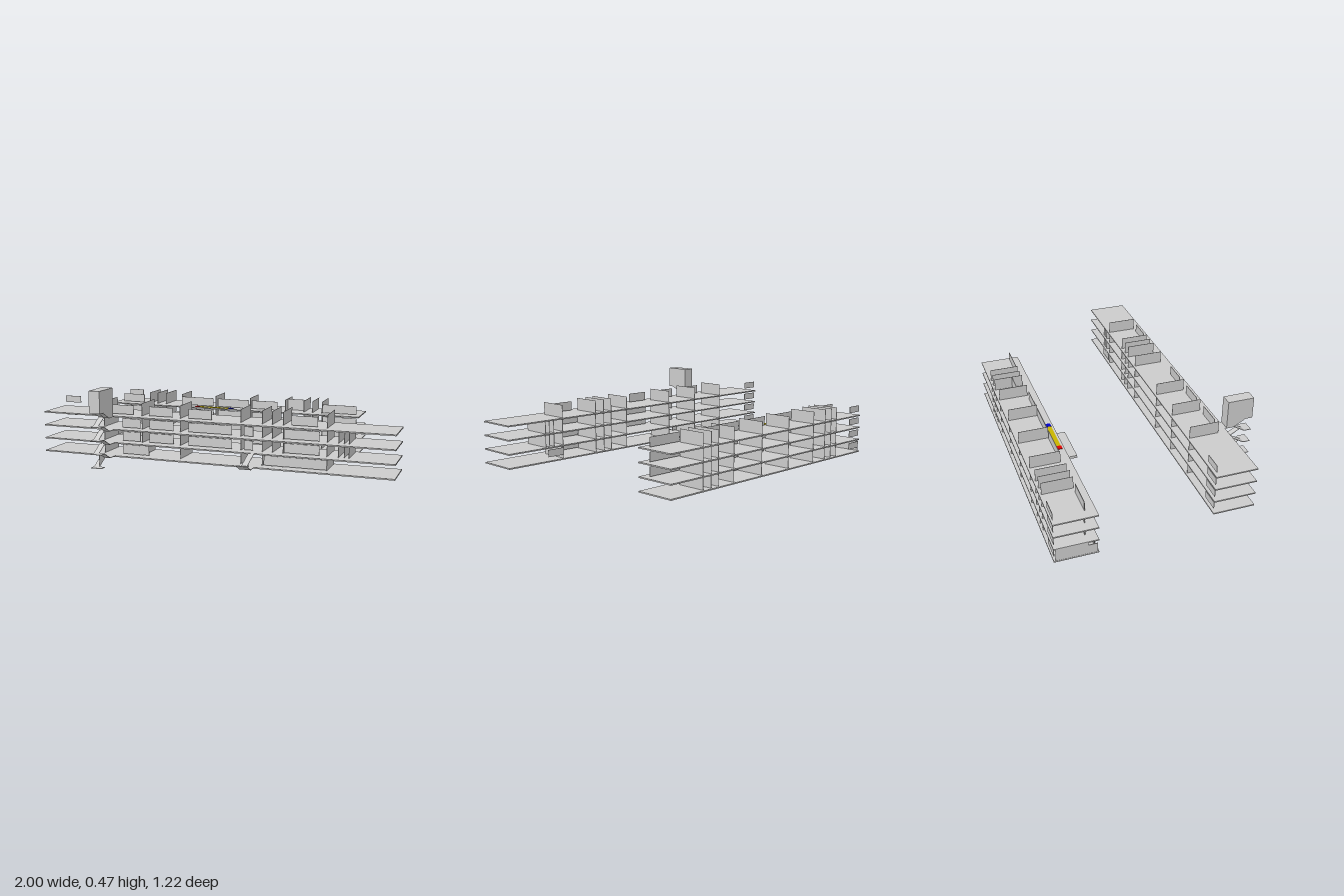
import * as THREE from 'three';

export function createModel() {
  const model = new THREE.Group();
  const paint = (color) => new THREE.MeshStandardMaterial({ color, flatShading: true });
  const grey = paint(0xcccccc);
  const thin = new THREE.MeshStandardMaterial({ color: 0xcccccc, flatShading: true, side: THREE.DoubleSide });

  // Box given by its min and max corners
  function box(parent, name, x0, x1, y0, y1, z0, z1, material = grey) {
    const mesh = new THREE.Mesh(new THREE.BoxGeometry(x1 - x0, y1 - y0, z1 - z0), material);
    mesh.position.set((x0 + x1) / 2, (y0 + y1) / 2, (z0 + z1) / 2);
    mesh.name = name;
    parent.add(mesh);
    return mesh;
  }

  // Side profile of [z, y] points extruded along x
  function sideProfile(parent, name, points, x0, x1) {
    const shape = new THREE.Shape(points.map(([z, y]) => new THREE.Vector2(-z, y)));
    const geometry = new THREE.ExtrudeGeometry(shape, { depth: x1 - x0, bevelEnabled: false });
    geometry.rotateY(Math.PI / 2).translate(x0, 0, 0);
    const mesh = new THREE.Mesh(geometry, thin);
    mesh.name = name;
    parent.add(mesh);
  }

  // Thin sloping or level strip between two [z, y] points
  function strip(parent, name, [z0, y0], [z1, y1], x0, x1) {
    const t = 0.003;
    sideProfile(parent, name, [[z0, y0], [z1, y1], [z1, y1 - t], [z0, y0 - t]], x0, x1);
  }

  // Stacked floor slabs with cross walls, front panels and end signs
  function building(name, o) {
    const g = new THREE.Group();
    g.name = name;
    for (let i = 0; i < 4; i++) {
      const y = o.base + 0.075 * i;
      const top = y + (i < 3 ? 0.068 : 0.07);
      box(g, 'floorSlab', o.x0, o.x1, y - 0.007, y, o.z0, o.z1);
      for (const x of o.walls) box(g, 'crossWall', x - 0.001, x + 0.001, y, top, o.wallBack, o.wallFront);
      for (const [a, b] of o.panels[i]) {
        box(g, 'frontPanel', a, b, y + 0.004, y + 0.055, o.wallFront - 0.003, o.wallFront);
      }
      box(g, 'endSign', -0.99, -0.89, y + 0.022, y + 0.06, o.z0 + 0.003, o.z0 + 0.006);
    }
    model.add(g);
    return g;
  }

  // Front building
  const topPanels = [[-0.6, -0.46], [-0.365, -0.225], [-0.13, 0.005], [0.45, 0.59]];
  const lowPanels = [[-0.53, -0.42], [-0.365, -0.22], [-0.13, 0.12], [0.19, 0.24], [0.41, 0.6]];
  const front = building('frontBuilding', {
    x0: -1, x1: 1, z0: 0.225, z1: 0.452, base: 0.084, wallBack: 0.235, wallFront: 0.4,
    walls: [-0.645, -0.41, -0.18, 0.17, 0.29, 0.345, 0.405, 0.64],
    panels: [[[-0.53, -0.37], [0.3, 0.64]], lowPanels, lowPanels, topPanels],
  });
  for (const x of [0.7, 0.73, 0.755]) {
    for (const y of [0.159, 0.234]) box(front, 'endPartition', x - 0.001, x + 0.001, y, y + 0.068, 0.235, 0.4);
  }
  box(front, 'farSign', 0.64, 0.745, 0.105, 0.145, 0.228, 0.231);

  // Rear building
  const rearPanels = [[-0.95, -0.8], [-0.53, -0.31], [-0.28, -0.07], [-0.05, 0.12], [0.41, 0.62]];
  const rear = building('rearBuilding', {
    x0: -1, x1: 0.645, z0: -0.61, z1: -0.38, base: 0.009, wallBack: -0.6, wallFront: -0.435,
    walls: [-0.76, -0.705, -0.645, -0.53, -0.295, -0.06, 0.17, 0.29, 0.345, 0.405],
    panels: [[[-0.05, 0.04], [-0.39, -0.31]], rearPanels, rearPanels, rearPanels],
  });
  box(rear, 'innerPartition', 0.17, 0.29, 0.234, 0.302, -0.497, -0.494);
  box(rear, 'groundEndWall', -0.999, -0.996, 0.009, 0.077, -0.6, -0.435);
  box(rear, 'groundEndWallFront', -0.999, -0.996, 0.009, 0.062, -0.435, -0.387);
  box(rear, 'groundRoomFront', -0.95, -0.69, 0.009, 0.066, -0.39, -0.387);
  box(rear, 'terrace', -0.3, -0.053, 0.069, 0.084, -0.38, -0.277);

  // Coloured strip lying on the top floor
  box(rear, 'yellowStrip', -0.39, -0.195, 0.234, 0.2365, -0.42, -0.393, paint(0xc8b400));
  box(rear, 'redEnd', -0.42, -0.39, 0.234, 0.237, -0.422, -0.391, paint(0xdd0000));
  box(rear, 'blueEnd', -0.195, -0.165, 0.234, 0.237, -0.422, -0.391, paint(0x0000cc));

  // Main stair tower: each storey goes down to a landing, then back to the floor below
  const stair = new THREE.Group();
  stair.name = 'stairTower';
  model.add(stair);
  const [left, mid, right] = [-0.62, -0.588, -0.555];
  for (let i = 0; i < 4; i++) {
    const y = 0.084 + 0.075 * i;
    const landing = y - 0.038;
    strip(stair, 'floorBridge', [0.45, y], [0.505, y], left, right);
    strip(stair, 'downFlight', [0.505, y], [0.57, landing], left, mid);
    strip(stair, 'landing', [0.57, landing], [0.61, landing], left, right);
    if (i > 0) strip(stair, 'upFlight', [0.57, landing], [0.505, y - 0.075], mid, right);
  }
  strip(stair, 'roofFlight', [0.505, 0.308], [0.57, 0.345], mid, right);
  sideProfile(stair, 'stairHead',
    [[0.61, 0.468], [0.462, 0.468], [0.462, 0.308], [0.505, 0.308], [0.57, 0.345], [0.61, 0.345]], left, right);
  sideProfile(stair, 'lowerCheek', [[0.57, 0.115], [0.57, 0.045], [0.51, 0.083]], mid - 0.001, mid + 0.001);

  // Small side stair
  const side = new THREE.Group();
  side.name = 'sideStair';
  model.add(side);
  strip(side, 'upperFlight', [0.452, 0.158], [0.565, 0.115], 0.232, 0.263);
  strip(side, 'lowerFlight', [0.505, 0.084], [0.565, 0.116], 0.2, 0.263);
  strip(side, 'bridge', [0.45, 0.084], [0.505, 0.084], 0.2, 0.263);
  sideProfile(side, 'cheek', [[0.452, 0.158], [0.565, 0.115], [0.505, 0.084], [0.452, 0.084]], 0.231, 0.233);

  return model;
}
